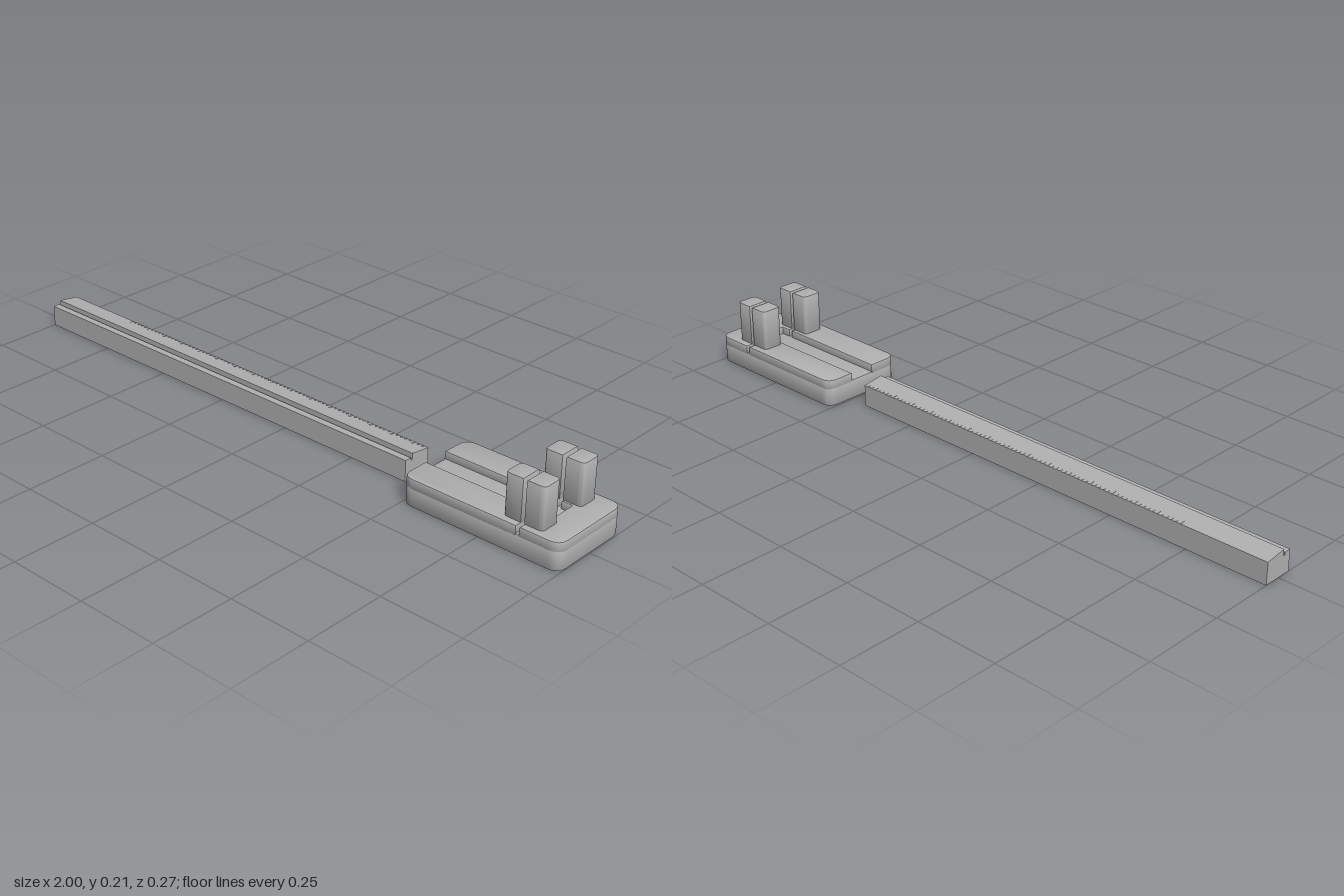
import * as THREE from 'three';
import { toCreasedNormals, mergeGeometries } from 'three/addons/utils/BufferGeometryUtils.js';

const grey = new THREE.MeshStandardMaterial({ color: 0xb0b0b0 });
grey.name = 'matte grey';

// Outline from [x, z, cornerRadius] points
function outline(points) {
  const shape = new THREE.Shape();
  const n = points.length;
  points.forEach(([x, z, r = 0], i) => {
    const c = new THREE.Vector2(x, -z);
    const toward = ([px, pz]) =>
      c.clone().add(new THREE.Vector2(px, -pz).sub(c).setLength(r));
    const a = r ? toward(points[(i + n - 1) % n]) : c;
    const b = r ? toward(points[(i + 1) % n]) : c;
    if (i === 0) shape.moveTo(a.x, a.y);
    else shape.lineTo(a.x, a.y);
    if (r) shape.quadraticCurveTo(c.x, c.y, b.x, b.y);
  });
  shape.closePath();
  return shape;
}

// Upright prism between two heights with softly rounded rims
function prism(name, points, y0, y1, bevel = 0.004) {
  const geo = new THREE.ExtrudeGeometry(outline(points), {
    depth: y1 - y0 - 2 * bevel, curveSegments: 6,
    bevelEnabled: true, bevelThickness: bevel, bevelSize: bevel,
    bevelOffset: -bevel, bevelSegments: 2,
  });
  geo.rotateX(-Math.PI / 2).translate(0, y0 + bevel, 0);
  const mesh = new THREE.Mesh(toCreasedNormals(geo, 0.7), grey);
  mesh.name = name;
  return mesh;
}

// Long measuring bar with a guide groove and a sloped scale face
function createBar() {
  const bar = new THREE.Group();
  bar.name = 'measuringBar';
  const x0 = -1, x1 = 0.44;
  const profile = [[0.043, 0], [0.043, 0.064], [0.022, 0.064], [0.022, 0.056],
    [0.016, 0.056], [0.016, 0.075], [-0.05, 0.066], [-0.05, 0]];
  const shape = new THREE.Shape(profile.map(([z, y]) => new THREE.Vector2(-z, y)));
  const geo = new THREE.ExtrudeGeometry(shape, { depth: x1 - x0, bevelEnabled: false });
  geo.rotateY(Math.PI / 2).translate(x0, 0, 0);
  const body = new THREE.Mesh(geo, grey);
  body.name = 'barBody';
  bar.add(body);

  // Graduation marks along the rear edge, every fifth one longer
  const marks = [];
  const slope = Math.atan(0.009 / 0.066);
  for (let i = 0; i < 78; i++) {
    const len = i % 5 ? 0.008 : 0.014;
    const mark = new THREE.BoxGeometry(0.004, 0.002, len);
    mark.translate(0, 0, len / 2).rotateX(-slope);
    marks.push(mark.translate(-0.73 + i * 0.015, 0.0662, -0.0498));
  }
  const scale = new THREE.Mesh(mergeGeometries(marks), grey);
  scale.name = 'graduationMarks';
  bar.add(scale);
  return bar;
}

// Rounded block with a shallow channel, a cross slit and two split posts
function createBlock() {
  const block = new THREE.Group();
  block.name = 'guideBlock';
  const x0 = 0.503, x1 = 1, w = 0.133, R = 0.035;
  const slitA = 0.867, slitB = 0.878, chanEnd = 0.91;
  const chanF = 0.037, chanR = -0.042, floor = 0.06, top = 0.083;

  block.add(prism('baseSlab',
    [[x0, w, R], [x1, w, R], [x1, -w, R], [x0, -w, R]], 0, floor));

  // Top layer around the channel and slit
  block.add(prism('frontDeck',
    [[x0, chanF], [x0, w, R], [slitA, w], [slitA, chanF]], 0.05, top));
  block.add(prism('rearDeck',
    [[x0, chanR], [slitA, chanR], [slitA, -w], [x0, -w, R]], 0.05, top));
  block.add(prism('endDeck',
    [[slitB, w], [x1, w, R], [x1, -w, R], [slitB, -w],
      [slitB, chanR], [chanEnd, chanR], [chanEnd, chanF], [slitB, chanF]], 0.05, top));

  // Posts, each split in two by the slit
  const r = 0.014;
  for (const [name, za, zb] of [['frontPost', 0.048, 0.113], ['rearPost', -0.113, -0.048]]) {
    const post = new THREE.Group();
    post.name = name;
    post.add(prism(name + 'InnerHalf',
      [[0.812, za, r], [0.812, zb, r], [slitA, zb], [slitA, za]], 0.07, 0.207));
    post.add(prism(name + 'OuterHalf',
      [[slitB, za], [slitB, zb], [0.933, zb, r], [0.933, za, r]], 0.07, 0.207));
    block.add(post);
  }
  return block;
}

export function createModel() {
  const model = new THREE.Group();
  model.name = 'measuringJig';
  model.add(createBar(), createBlock());
  return model;
}
